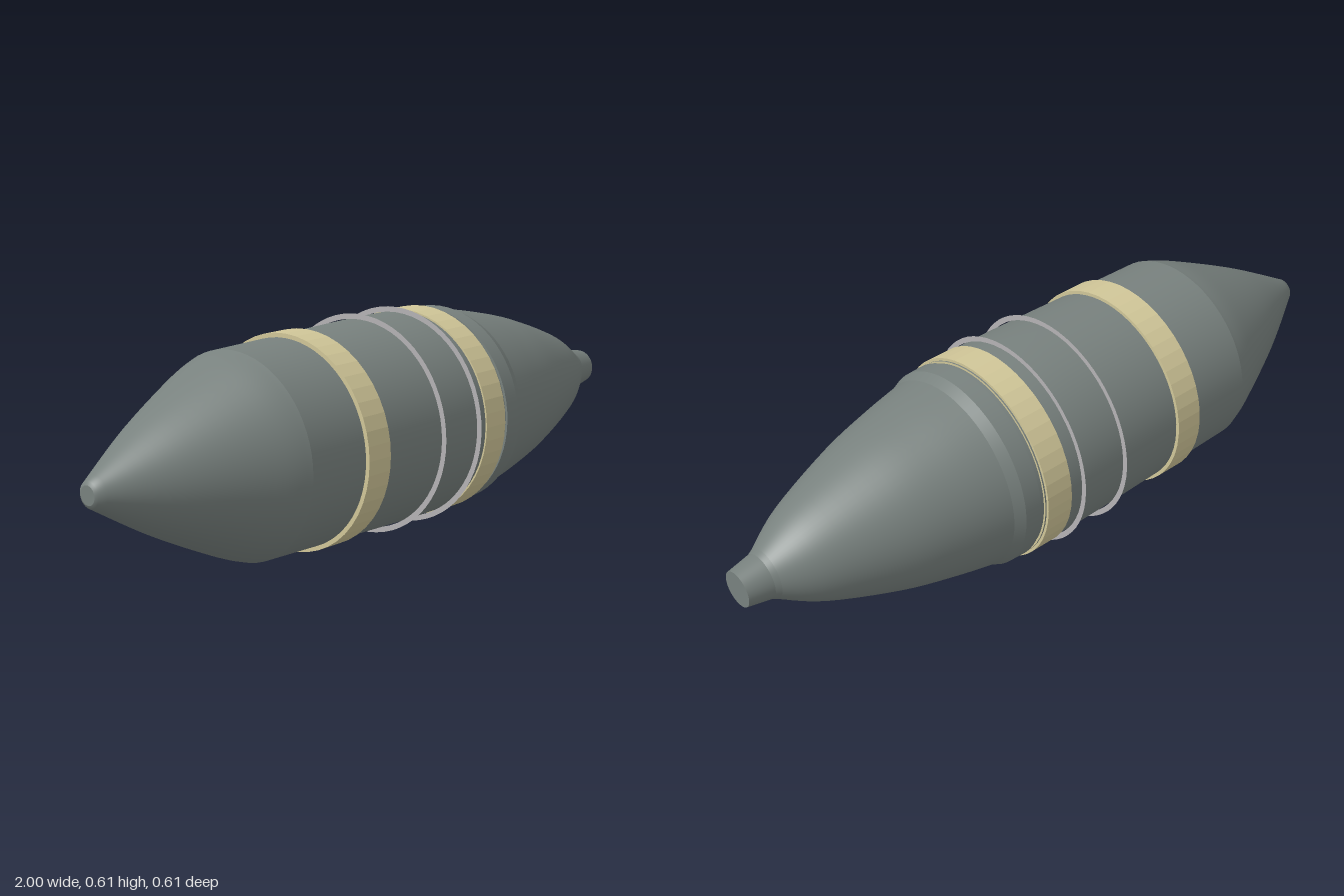
import * as THREE from 'three';

const AXIS_Y = 0.305;

export function createModel() {
  const group = new THREE.Group();
  group.name = 'shell';

  const mat = (name, color, extra = {}) => {
    const m = new THREE.MeshStandardMaterial({ color, ...extra });
    m.name = name;
    return m;
  };
  const steel = mat('grey green steel', 0x78817e);
  const sand = mat('pale sand', 0xd0c698, { flatShading: true });
  const silver = mat('light grey', 0xb4b2b4, { side: THREE.DoubleSide });

  const add = (name, geometry, material) => {
    const mesh = new THREE.Mesh(geometry, material);
    mesh.name = name;
    mesh.position.y = AXIS_Y;
    group.add(mesh);
    return mesh;
  };

  // Revolves [x, radius] points around the long axis
  const turned = (name, profile, material = steel, sides = 64) =>
    add(name, new THREE.LatheGeometry(profile.map(([x, r]) => new THREE.Vector2(r, x)), sides)
      .rotateZ(-Math.PI / 2), material);

  // Smooth curve through a few profile points
  const smooth = (points, n = 20) =>
    new THREE.SplineCurve(points.map(([x, r]) => new THREE.Vector2(x, r)))
      .getPoints(n).map((p) => [p.x, p.y]);

  // Tapered end with its small blunt tip
  turned('tailTip', [[-1, 0], [-1, 0.025]]);
  turned('tailCone', [[-1, 0.025], ...smooth([[-0.995, 0.034], [-0.8, 0.148], [-0.6, 0.246], [-0.52, 0.277]])]);

  // Slightly swelling central body
  turned('body', smooth([[-0.52, 0.277], [-0.33, 0.281], [0.05, 0.289], [0.235, 0.285]]));

  // Groove and shoulder ahead of the front band
  turned('groove', [[0.235, 0.279], [0.25, 0.279]]);
  turned('shoulderFace', [[0.25, 0.278], [0.25, 0.286]]);
  turned('shoulder', [[0.25, 0.286], [0.30, 0.284]]);
  turned('shoulderBevel', [[0.30, 0.284], [0.33, 0.271]]);

  // Curved nose and fuse
  turned('nose', smooth([[0.33, 0.271], [0.45, 0.247], [0.6, 0.209], [0.8, 0.136], [0.915, 0.07]]));
  turned('fuseCollar', [[0.915, 0.07], [0.93, 0.063]]);
  turned('fuse', [[0.93, 0.063], [1, 0.05]]);
  turned('fuseCap', [[1, 0.05], [1, 0]]);

  // Two faceted bands
  for (const [name, x] of [['rearBand', -0.29], ['frontBand', 0.19]]) {
    turned(name, [[x - 0.041, 0.27], [x - 0.041, 0.293], [x + 0.041, 0.293], [x + 0.041, 0.27]], sand, 48);
  }

  // Two flat rings standing off the body
  for (const [name, x] of [['rearRing', -0.04], ['frontRing', 0.11]]) {
    add(name, new THREE.RingGeometry(0.29, 0.305, 64).rotateY(Math.PI / 2), silver).position.x = x;
  }

  return group;
}
